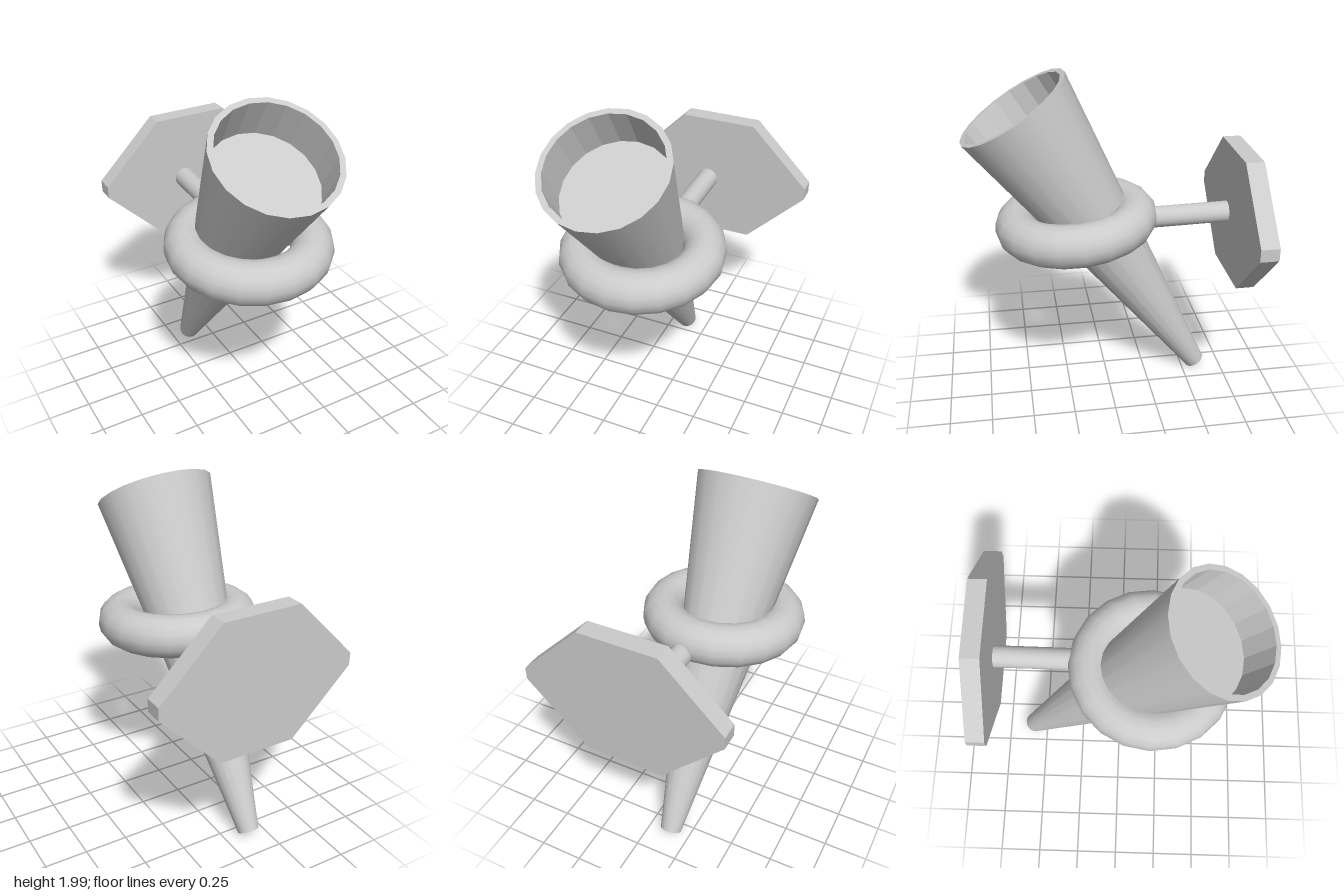
import * as THREE from 'three';
import { toCreasedNormals } from 'three/addons/utils/BufferGeometryUtils.js';

const SIDES = 20;
const smooth = new THREE.MeshStandardMaterial({ color: 0xcccccc });
const flat = new THREE.MeshStandardMaterial({ color: 0xcccccc, flatShading: true });

function part(parent, name, geometry, material, x = 0, y = 0, z = 0) {
  const mesh = new THREE.Mesh(geometry, material);
  mesh.name = name;
  mesh.position.set(x, y, z);
  parent.add(mesh);
  return mesh;
}

const lathe = (points) =>
  new THREE.LatheGeometry(points.map(([r, y]) => new THREE.Vector2(r, y)), SIDES);

export function createModel() {
  const model = new THREE.Group();
  model.name = 'wallTorch';

  // Torch: a tapered handle leaning out from the wall, with a hollow top
  const torch = new THREE.Group();
  torch.name = 'torch';
  torch.position.set(-0.14, 0.04, -0.588);
  torch.rotation.x = Math.atan2(1.11, 1.775);
  model.add(torch);
  const length = 2.093;
  const shell = lathe([[0, 0], [0.062, 0], [0.35, length]]);
  part(torch, 'torchHandle', toCreasedNormals(shell, 0.6), smooth);
  const bowl = lathe([[0.35, length], [0.318, length], [0.312, length - 0.243], [0, length - 0.243]]);
  part(torch, 'torchBowl', bowl, flat);

  // Holder ring, tipped slightly towards the front
  const ring = new THREE.TorusGeometry(0.352, 0.123, 16, SIDES);
  ring.rotateX(Math.PI / 2);
  part(model, 'holderRing', ring, smooth, -0.103, 1.135, 0.183).rotation.x = 0.09;

  // Rod from the ring to the wall plate
  const rod = toCreasedNormals(new THREE.CylinderGeometry(0.063, 0.063, 0.55, SIDES), 0.6);
  rod.rotateX(Math.PI / 2);
  part(model, 'supportRod', rod, smooth, -0.06, 1.14, -0.475).rotation.x = 0.02;

  // Wall plate: a wide hexagon with its side points cut off
  const outline = [
    [0.225, 0.39], [-0.225, 0.39], [-0.577, 0.036], [-0.577, -0.036],
    [-0.225, -0.39], [0.225, -0.39], [0.577, -0.036], [0.577, 0.036],
  ].map(([x, y]) => new THREE.Vector2(x, y));
  const plate = new THREE.ExtrudeGeometry(new THREE.Shape(outline), { depth: 0.106, bevelEnabled: false });
  part(model, 'wallPlate', plate, flat, 0, 1.165, -0.819);

  return model;
}
